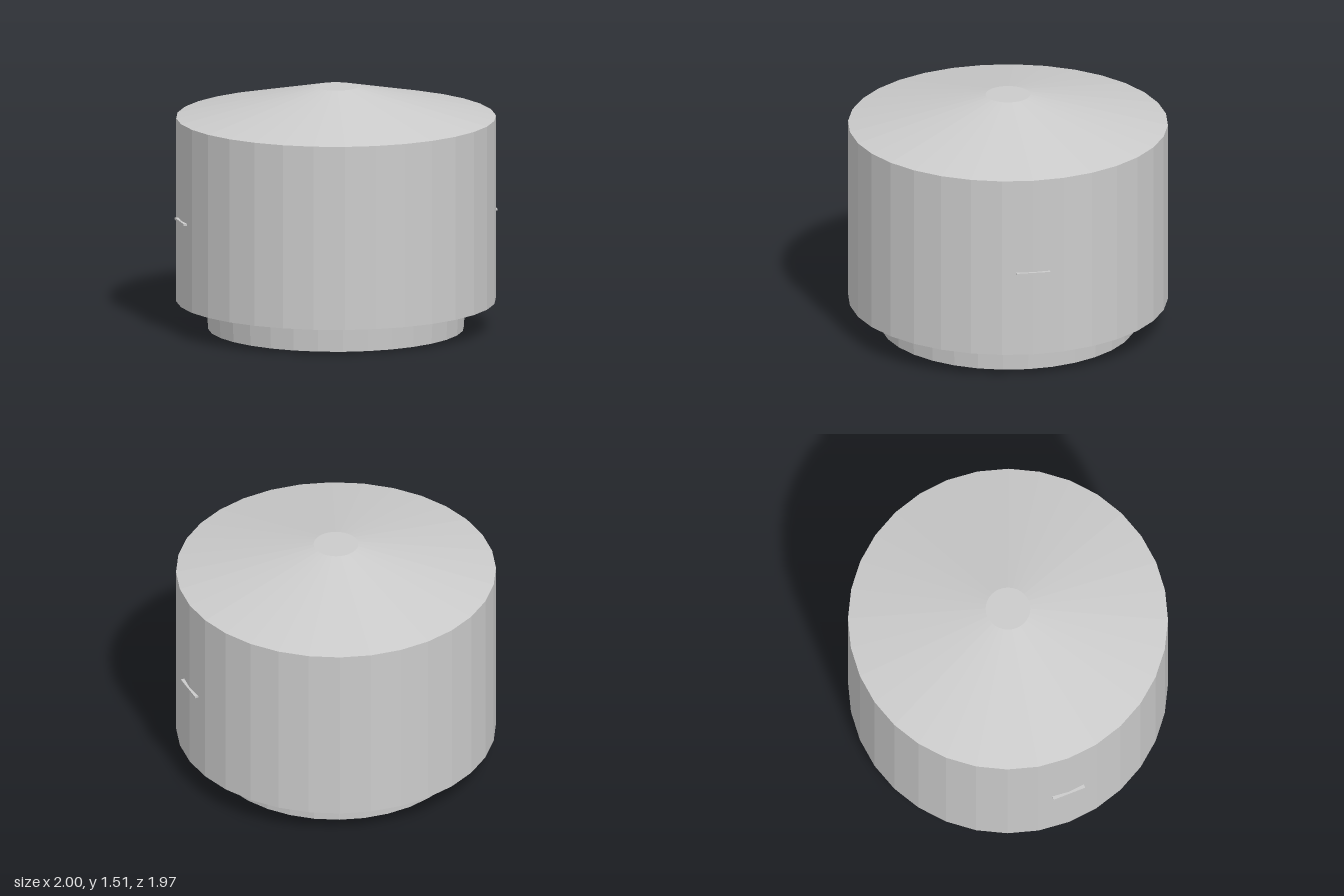
import * as THREE from 'three';

const SIDES = 32;
const material = new THREE.MeshStandardMaterial({ color: 0xcccccc, flatShading: true });

// Faceted solid of revolution from [radius, height] points, listed bottom to top
function turned(name, profile) {
  const points = profile.map(([r, y]) => new THREE.Vector2(r, y));
  const mesh = new THREE.Mesh(new THREE.LatheGeometry(points, SIDES), material);
  mesh.name = name;
  return mesh;
}

export function createModel() {
  const model = new THREE.Group();
  model.name = 'drum';

  // Foot ring, with a shallow round recess underneath
  model.add(turned('footRing', [
    [0, 0.09], [0.62, 0.09], [0.62, 0], [0.79, 0], [0.798, 0.14],
  ]));

  // Sloped underside and straight wall
  model.add(turned('body', [[0.798, 0.14], [0.987, 0.175], [0.987, 1.325]]));

  // Low conical roof with a small flat cap
  model.add(turned('roof', [[0.987, 1.325], [0.138, 1.515], [0, 1.515]]));

  // Thin grip strip on each side
  for (const side of [1, -1]) {
    const grip = new THREE.Mesh(new THREE.BoxGeometry(0.04, 0.013, 0.212), material);
    grip.name = side > 0 ? 'leftGrip' : 'rightGrip';
    grip.position.set(side * 0.98, 0.713, 0);
    model.add(grip);
  }
  return model;
}
